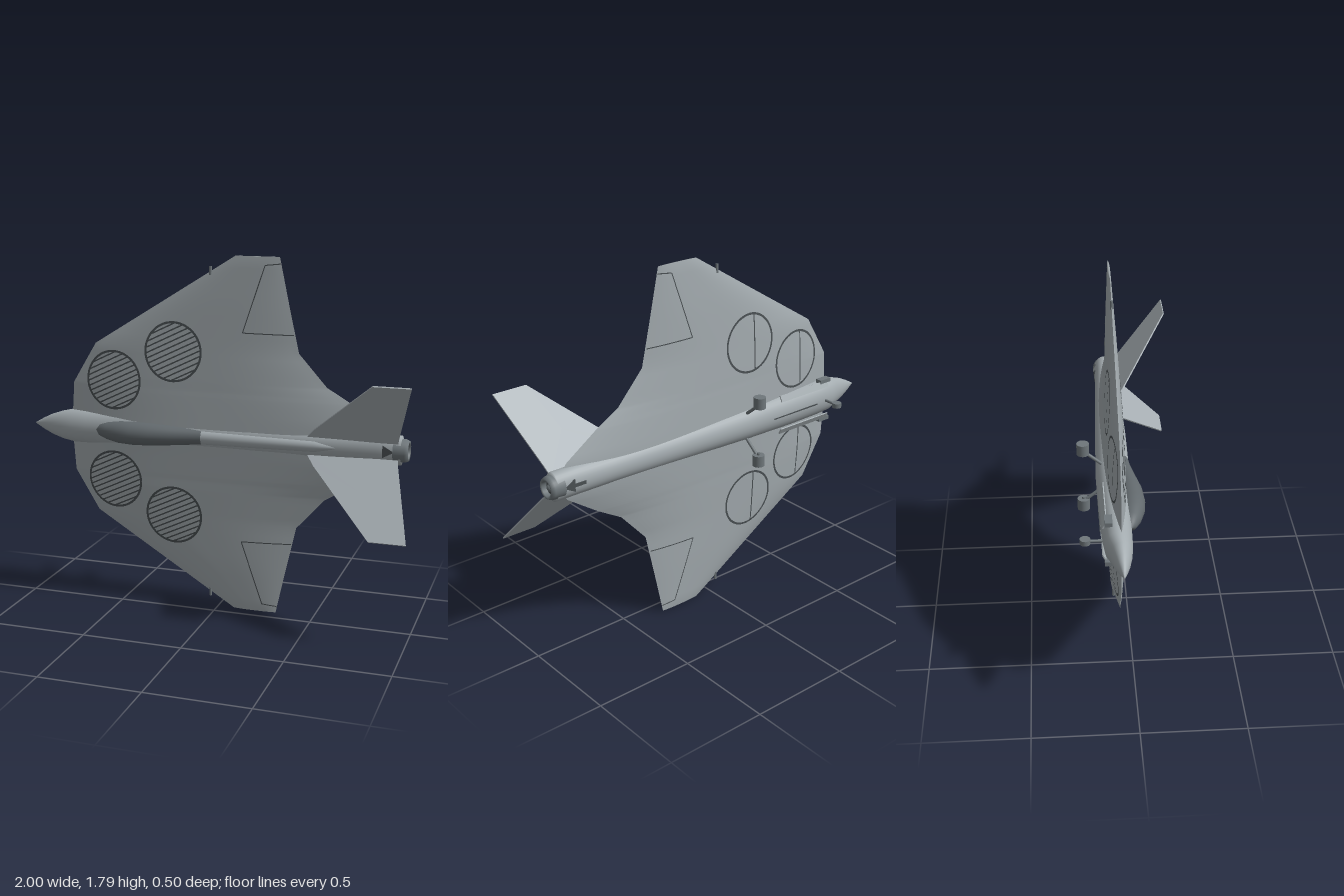
import * as THREE from 'three';

const CY = 0.892, CZ = -0.07;
const mat = (name, color, side = THREE.FrontSide) => {
  const m = new THREE.MeshStandardMaterial({ color, side });
  m.name = name;
  return m;
};

// Skin through a list of closed rings with equal point counts
function loft(rings) {
  const n = rings[0].length, pos = [], idx = [];
  rings.forEach(r => r.forEach(p => pos.push(...p)));
  for (let i = 0; i < rings.length - 1; i++) for (let k = 0; k < n; k++) {
    const a = i * n + k, b = i * n + (k + 1) % n;
    idx.push(a, b, a + n, b, b + n, a + n);
  }
  const g = new THREE.BufferGeometry();
  g.setAttribute('position', new THREE.Float32BufferAttribute(pos, 3));
  g.setIndex(idx);
  g.computeVertexNormals();
  return g;
}

// Elliptical hull from [x, half width, low z, high z] stations
function hull(stations, n = 32) {
  return loft(stations.map(([x, w, lo, hi]) => Array.from({ length: n }, (_, k) => {
    const a = k / n * Math.PI * 2;
    return [x, CY + w * Math.cos(a), (lo + hi) / 2 + (hi - lo) / 2 * Math.sin(a)];
  })));
}

// Wing stations: distance from centreline, leading x, trailing x, half thickness
const WING = [
  [0, -0.785, 0.9, 0.055], [0.09, -0.785, 0.84, 0.05], [0.2, -0.777, 0.68, 0.044], [0.23, -0.775, 0.63, 0.042],
  [0.28, -0.745, 0.545, 0.04], [0.437, -0.65, 0.405, 0.032], [0.66, -0.29, 0.355, 0.021], [0.893, 0.085, 0.305, 0.006],
];
function wingAt(d) {
  let i = 0;
  while (i < WING.length - 2 && d > WING[i + 1][0]) i++;
  const t = (d - WING[i][0]) / (WING[i + 1][0] - WING[i][0]);
  return WING[i].map((v, j) => v + (WING[i + 1][j] - v) * t);
}
const bulge = u => 1 - Math.abs(2 * u - 1) ** 3;
function halfThickness(x, d) {
  const [, le, te, t] = wingAt(d);
  return t * bulge(THREE.MathUtils.clamp((x - le) / (te - le), 0, 1));
}
function wingGeometry() {
  const ds = [];
  for (let i = 0; i < WING.length - 1; i++)
    for (let k = 0; k < 4; k++) ds.push(WING[i][0] + (WING[i + 1][0] - WING[i][0]) * k / 4);
  ds.push(0.893);
  const ring = (y, scale) => {
    const [, le, te, t] = wingAt(Math.abs(y)), N = 28, r = [];
    for (const s of [1, -1]) for (let k = 0; k <= N; k++) {
      const u = s > 0 ? k / N : 1 - k / N;
      r.push([le + (te - le) * u, CY + y, CZ + s * t * scale * bulge(u)]);
    }
    return r;
  };
  const span = [...ds.slice(1).reverse().map(d => -d), ...ds];
  return loft([ring(-0.893, 0), ...span.map(y => ring(y, 1)), ring(0.893, 0)]);
}

// Thin strip lying on the wing skin; points are [x, distance], s picks the face, m the wing
function ribbon(pts, w, s, m) {
  const pos = [], idx = [];
  pts.forEach((p, i) => {
    const a = pts[Math.max(i - 1, 0)], b = pts[Math.min(i + 1, pts.length - 1)];
    const l = Math.hypot(b[0] - a[0], b[1] - a[1]);
    const nx = -(b[1] - a[1]) / l * w / 2, ny = (b[0] - a[0]) / l * w / 2;
    for (const e of [1, -1]) {
      const x = p[0] + e * nx, d = p[1] + e * ny;
      pos.push(x, CY + m * d, CZ + s * (halfThickness(x, d) + 0.002));
    }
    if (i) idx.push(2 * i - 2, 2 * i - 1, 2 * i, 2 * i - 1, 2 * i + 1, 2 * i);
  });
  const g = new THREE.BufferGeometry();
  g.setAttribute('position', new THREE.Float32BufferAttribute(pos, 3));
  g.setIndex(idx);
  g.computeVertexNormals();
  return g;
}
const segment = (a, b, n = 10) => Array.from({ length: n + 1 }, (_, i) =>
  [a[0] + (b[0] - a[0]) * i / n, a[1] + (b[1] - a[1]) * i / n]);

export function createModel() {
  const root = new THREE.Group();
  const grey = mat('hull grey', 0xa3abaf);
  const finGrey = mat('fin grey', 0xa8b0b5, THREE.DoubleSide);
  const glass = mat('canopy dark grey', 0x62696d);
  const seam = mat('seam charcoal', 0x4a5053, THREE.DoubleSide);
  const metal = mat('metal grey', 0x6f777b, THREE.DoubleSide);
  const add = (name, geo, m, parent = root) => {
    const mesh = new THREE.Mesh(geo, m);
    mesh.name = name;
    parent.add(mesh);
    return mesh;
  };
  const rod = (name, a, b, r, m, parent) => {
    const A = new THREE.Vector3(...a), B = new THREE.Vector3(...b), dir = B.clone().sub(A);
    const mesh = add(name, new THREE.CylinderGeometry(r, r, dir.length(), 16), m, parent);
    mesh.position.copy(A).add(B).multiplyScalar(0.5);
    mesh.quaternion.setFromUnitVectors(new THREE.Vector3(0, 1, 0), dir.normalize());
    return mesh;
  };

  // Body, canopy and spine
  add('fuselage', hull([
    [-1, 0.001, -0.071, -0.069], [-0.95, 0.03, -0.09, -0.052], [-0.9, 0.054, -0.107, -0.038], [-0.84, 0.074, -0.123, -0.026],
    [-0.78, 0.087, -0.145, -0.02], [-0.7, 0.09, -0.153, -0.017], [-0.5, 0.092, -0.158, -0.014], [-0.2, 0.088, -0.16, -0.008],
    [0.2, 0.08, -0.146, -0.006], [0.6, 0.072, -0.13, -0.01], [0.8, 0.072, -0.122, -0.018], [0.915, 0.072, -0.122, -0.018],
    [0.917, 0.04, -0.1, -0.04],
  ]), grey);
  add('canopy', hull([
    [-0.635, 0.002, -0.03, -0.015], [-0.615, 0.028, -0.05, 0.008], [-0.57, 0.043, -0.06, 0.032], [-0.5, 0.055, -0.06, 0.053],
    [-0.43, 0.058, -0.06, 0.06], [-0.33, 0.056, -0.06, 0.053], [-0.22, 0.048, -0.06, 0.03], [-0.13, 0.041, -0.06, 0.012],
    [-0.07, 0.037, -0.06, 0.005],
  ]), glass);
  add('spine', hull([[-0.07, 0.037, -0.06, 0.005], [0.2, 0.034, -0.06, 0.007], [0.5, 0.03, -0.06, 0.003],
    [0.62, 0.012, -0.06, -0.012]]), grey);
  add('wing', wingGeometry(), grey);

  // Exhaust ring with a dark core
  const ring = add('nozzle', new THREE.LatheGeometry([[0.058, -0.04], [0.056, 0.015], [0.048, 0.032], [0.036, 0.03],
    [0.034, -0.005]].map(p => new THREE.Vector2(...p)), 32), metal);
  const core = add('nozzleCore', new THREE.CylinderGeometry(0.036, 0.036, 0.01, 32), seam);
  const hub = add('nozzleHub', new THREE.SphereGeometry(0.02, 20, 12), metal);
  ring.position.set(0.918, CY, CZ);
  core.position.set(0.92, CY, CZ);
  hub.position.set(0.923, CY, CZ);
  ring.rotation.z = core.rotation.z = -Math.PI / 2;

  // Painted markers near the tail
  const arrow = new THREE.Shape([[0.83, -0.03], [0.885, 0], [0.83, 0.03]].map(p => new THREE.Vector2(...p)));
  for (const z of [-0.022, -0.126])
    add('tailMarker', new THREE.ExtrudeGeometry(arrow, { depth: 0.008, bevelEnabled: false }), seam).position.set(0, CY, z);
  add('tailMarkerShaft', new THREE.BoxGeometry(0.06, 0.016, 0.008), seam).position.set(0.8, CY, -0.122);

  // Lift fans, ailerons, tip probes, fins and main gear on both sides
  const R = 0.145;
  for (const m of [1, -1]) {
    const sideName = m > 0 ? 'upper' : 'lower';
    const half = new THREE.Group();
    half.name = sideName + 'WingDetails';
    root.add(half);
    for (const [fx, fd] of [[-0.545, 0.258], [-0.225, 0.418]]) {
      const circle = Array.from({ length: 49 }, (_, i) =>
        [fx + R * Math.cos(i * Math.PI / 24), fd + R * Math.sin(i * Math.PI / 24)]);
      for (const s of [1, -1]) add('fanRim', ribbon(circle, 0.011, s, m), seam, half);
      // louvres on the upper face
      const c = Math.cos(0.45), n = Math.sin(0.45) * m;
      for (let k = -5; k <= 5; k++) {
        const o = k * 0.025, h = Math.sqrt(R * R - o * o);
        add('fanLouvre', ribbon(segment([fx - n * o - c * h, fd + c * o - n * h],
          [fx - n * o + c * h, fd + c * o + n * h]), 0.007, 1, m), seam, half);
      }
      // split line of the doors beneath
      add('fanDoorSeam', ribbon(segment([fx - 0.03, fd - 0.14], [fx - 0.03, fd + 0.14]), 0.007, -1, m), seam, half);
    }
    for (const s of [1, -1]) {
      add('aileronSeam', ribbon(segment([0.13, 0.527], [0.38, 0.523]), 0.005, s, m), seam, half);
      add('aileronSeam', ribbon(segment([0.13, 0.527], [0.235, 0.852]), 0.005, s, m), seam, half);
      add('aileronSeam', ribbon(segment([0.235, 0.852], [0.311, 0.86]), 0.005, s, m), seam, half);
    }
    rod('tipProbe', [-0.04, CY + m * 0.797, CZ], [-0.04, CY + m * 0.84, CZ], 0.007, metal, half);

    // slanted fin: outline in x and distance, tilted outwards
    const fin = [[0.45, 0.03], [0.505, 0.09], [0.825, 0.364], [1.0, 0.364], [0.91, 0.07], [0.9, 0.03]];
    const finZ = d => -0.03 + (d - 0.04) * 0.864;
    const off = 0.0035;
    const rings = [0, 1, -1, 0].map((e, i) => fin.map(([x, d]) => {
      const k = i === 0 || i === 3 ? 0.5 : 0;
      const f = (i < 2 ? 1 : -1) * off;
      const px = x + (0.75 - x) * k * 2, pd = d + (0.18 - d) * k * 2;
      return [px, CY + m * (pd - f * 0.65), finZ(pd) + f * 0.75];
    }));
    const finGeo = loft(m > 0 ? rings : rings.map(r => r.slice().reverse())).toNonIndexed();
    finGeo.computeVertexNormals();
    add(sideName + 'TailFin', finGeo, finGrey);

    const gear = new THREE.Group();
    gear.name = sideName + 'MainGear';
    root.add(gear);
    rod('strut', [-0.19, CY + m * 0.06, -0.12], [-0.19, CY + m * 0.13, -0.205], 0.008, metal, gear);
    rod('axle', [-0.19, CY + m * 0.115, -0.218], [-0.19, CY + m * 0.16, -0.218], 0.008, metal, gear);
    rod('wheel', [-0.19, CY + m * 0.125, -0.218], [-0.19, CY + m * 0.182, -0.218], 0.03, metal, gear);

    // open nose gear bay door
    const door = add('noseGearDoor', new THREE.BoxGeometry(0.33, 0.035, 0.006), grey);
    door.position.set(-0.57, CY + m * 0.088, -0.142);
    door.rotation.x = m * 0.5;
    add('gearDoorHinge', new THREE.BoxGeometry(0.07, 0.02, 0.035), metal).position.set(-0.72, CY + m * 0.105, -0.125);
  }

  // Nose gear
  rod('noseStrut', [-0.72, CY, -0.14], [-0.72, CY, -0.22], 0.007, metal);
  rod('noseWheel', [-0.72, CY - 0.012, -0.228], [-0.72, CY + 0.012, -0.228], 0.024, metal);
  add('noseGearBay', new THREE.BoxGeometry(0.3, 0.006, 0.004), seam).position.set(-0.5, CY, -0.158);
  return root;
}
